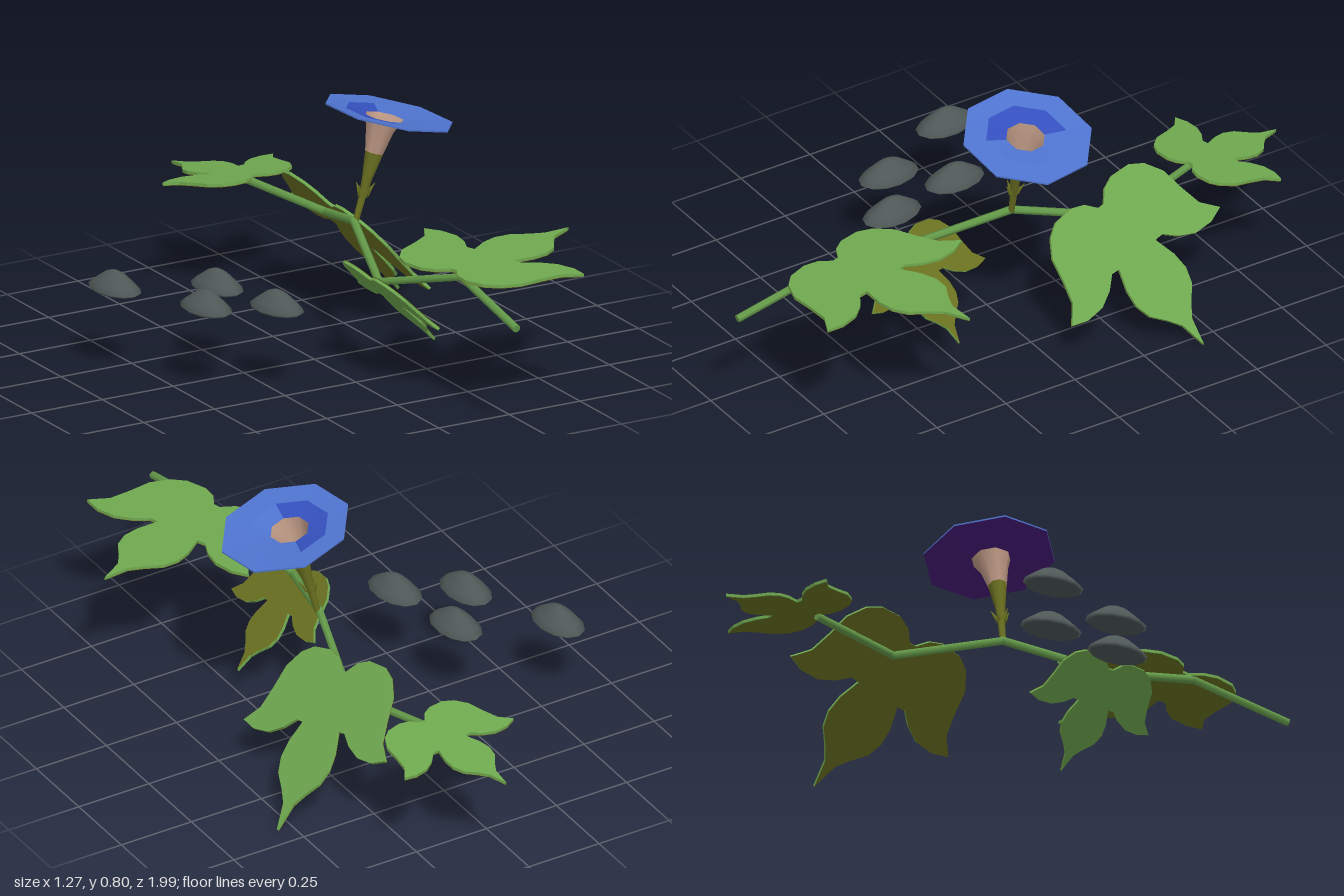
import * as THREE from 'three';

const mat = (name, color, side = THREE.FrontSide) => {
  const m = new THREE.MeshStandardMaterial({ color, side });
  m.name = name;
  return m;
};
const V = (p) => new THREE.Vector3(...p);

export function createModel() {
  const root = new THREE.Group();
  const leafGreen = mat('leafGreen', 0x6fa84f);
  const stemGreen = mat('stemGreen', 0x649a49);
  const olive = mat('olive', 0x6a7020, THREE.DoubleSide);
  const petalBlue = mat('petalBlue', 0x4f74cf);
  const deepBlue = mat('deepBlue', 0x3450bd);
  const purple = mat('purple', 0x4a1c7c);
  const peach = mat('peach', 0xbd9884, THREE.DoubleSide);
  const stoneGrey = mat('stoneGrey', 0x4e5856);

  const add = (name, geo, material, parent = root) => {
    const m = new THREE.Mesh(geo, material);
    m.name = name;
    parent.add(m);
    return m;
  };

  // Rod between two points
  const rod = (name, a, b, r0, r1, material) => {
    const d = b.clone().sub(a);
    const m = add(name, new THREE.CylinderGeometry(r1, r0, d.length(), 6), material);
    m.position.copy(a).addScaledVector(d, 0.5);
    m.quaternion.setFromUnitVectors(V([0, 1, 0]), d.normalize());
  };

  // Zigzag vine
  const vine = [
    [0.135, 0.375, 0.99], [0.135, 0.445, 0.66], [0.035, 0.35, 0.33],
    [0.14, 0.43, 0], [0.235, 0.345, -0.33], [0.145, 0.37, -0.645],
  ].map(V);
  for (let i = 0; i < vine.length - 1; i++) rod('vineStem', vine[i], vine[i + 1], 0.013, 0.013, stemGreen);
  for (const p of vine.slice(1, -1)) {
    add('vineJoint', new THREE.SphereGeometry(0.0135, 8, 6), stemGreen).position.copy(p);
  }

  // Three-lobed leaf outline: one half, then mirrored
  const half = [
    [0, 0.012], [-0.035, 0.045], [-0.052, 0.09], [-0.047, 0.16], [-0.02, 0.205], [0.035, 0.243],
    [0.11, 0.258], [0.18, 0.277], [0.232, 0.325], [0.25, 0.27], [0.247, 0.205], [0.22, 0.15],
    [0.185, 0.11], [0.187, 0.08], [0.255, 0.103], [0.31, 0.108], [0.36, 0.092], [0.405, 0.05],
    [0.445, 0.02], [0.53, 0],
  ];
  const outline = [...half, ...half.slice(0, -1).reverse().map(([x, y]) => [x, -y])];
  const leafShape = new THREE.Shape(outline.map(([x, y]) => new THREE.Vector2(x, y)));

  // Leaf placed by its middle tip and its two side tips
  const leaf = (name, tip, sideA, sideB, flipped = false) => {
    const t = V(tip), a = V(sideA), b = V(sideB);
    const mid = a.clone().add(b).multiplyScalar(0.5);
    const u = t.clone().sub(mid).normalize();
    const v = b.clone().sub(a);
    const s = v.length() / 0.65;
    v.addScaledVector(u, -v.dot(u)).normalize();
    let n = u.clone().cross(v);
    if ((n.y < 0) !== flipped) { n.negate(); v.negate(); }
    const g = new THREE.Group();
    g.name = name;
    g.quaternion.setFromRotationMatrix(new THREE.Matrix4().makeBasis(u, v, n));
    g.position.copy(mid).addScaledVector(u, -0.23 * s);
    const blade = new THREE.ExtrudeGeometry(leafShape, { depth: 0.009, bevelEnabled: false });
    blade.scale(s, s, 1).translate(0, 0, -0.0035);
    add('leafBlade', blade, leafGreen, g);
    // The outline is symmetric, so a half turn gives the lower face
    const under = new THREE.ShapeGeometry(leafShape).rotateX(Math.PI);
    under.scale(s, s, 1).translate(0, 0, -0.0055);
    add('leafUnderside', under, olive, g);
    root.add(g);
  };
  leaf('frontLeaf', [0.632, 0.456, 0.46], [0.257, 0.456, 0.243], [0.43, 0.456, 0.868]);
  leaf('sideLeaf', [0.555, 0.008, -0.434], [0.305, 0.29, -0.655], [0.42, 0.16, -0.03]);
  leaf('turnedLeaf', [0.275, 0.1, 0.27], [0.155, 0.22, 0.505], [0.1, 0.275, 0.08], true);
  leaf('backLeaf', [0.08, 0.335, -0.997], [0.35, 0.357, -0.836], [-0.1, 0.368, -0.75]);

  // Octagonal loft through rings [x, y, z, radius, tilt]; from/to pick segments
  const SIDES = 8;
  const loft = (rings, flip = false, from = 0, to = SIDES) => {
    const pos = [], idx = [], w = to - from + 1;
    rings.forEach(([x, y, z, r, tilt], i) => {
      for (let k = from; k <= to; k++) {
        const t = (k / SIDES) * Math.PI * 2 + 0.25;
        const c = r * Math.cos(t);
        pos.push(x + c * Math.cos(tilt), y - c * Math.sin(tilt), z + r * Math.sin(t));
        if (i && k < to) {
          const a = (i - 1) * w + k - from, b = a + w;
          const q = [a, b, a + 1, b, b + 1, a + 1];
          idx.push(...(flip ? q.reverse() : q));
        }
      }
    });
    const g = new THREE.BufferGeometry();
    g.setAttribute('position', new THREE.Float32BufferAttribute(pos, 3));
    g.setIndex(idx);
    g.computeVertexNormals();
    return g;
  };

  // Flower stalk, calyx and tube
  const neck = [0.203, 0.645, 0.015, 0.03, 0.3];
  const throat = [0.24, 0.752, 0.013, 0.062, 0.245];
  add('flowerCalyx', loft([
    [0.145, 0.43, 0.003, 0.01, 0.2], [0.166, 0.51, 0.008, 0.012, 0.25],
    [0.18, 0.565, 0.012, 0.017, 0.3], neck,
  ]), olive);
  add('flowerTube', loft([neck, [0.224, 0.715, 0.014, 0.046, 0.27], throat]), peach);

  // Pointed sepals around the calyx
  for (let i = 0; i < 5; i++) {
    const t = (i / 5) * Math.PI * 2 + 0.3;
    const at = (r, y, x) => new THREE.Vector3(x + r * Math.cos(t), y, 0.01 + r * Math.sin(t));
    rod('sepal', at(0.01, 0.51, 0.167), at(0.03, 0.548, 0.175), 0.008, 0.001, olive);
  }

  // Flared corolla: blue above with a deep blue patch, purple below
  const band = [0.245, 0.761, 0.013, 0.13, 0.245];
  const rim = [0.255, 0.764, 0.015, 0.207, 0.245];
  add('corollaRim', loft([band, rim], true), petalBlue);
  add('corollaPatch', loft([throat, band], true, 2, 6), deepBlue);
  add('corollaInner', loft([throat, band], true, 6, 10), petalBlue);
  const lower = ([x, y, z, r, tilt]) => [x, y - 0.005, z, r, tilt];
  add('corollaUnderside', loft([throat, band, rim].map(lower)), purple);
  add('corollaEdge', loft([lower(rim), rim]), petalBlue);

  // Four domed stones with flat bases
  const dome = [[0, 0], [0.9, 0], [1, 0.008], [0.78, 0.026], [0.4, 0.053], [0.15, 0.063], [0, 0.065]]
    .map(([r, y]) => new THREE.Vector2(r, y));
  const stones = [[-0.577, -0.22, 0.12], [-0.3, -0.075, 0.1], [-0.43, 0.08, 0.08], [-0.243, 0.188, 0.15]];
  for (const [x, z, turn] of stones) {
    const g = new THREE.LatheGeometry(dome, 12).scale(0.066, 1, 0.105);
    const m = add('stone', g, stoneGrey);
    m.position.set(x, 0.266, z);
    m.rotation.y = turn;
  }
  return root;
}
